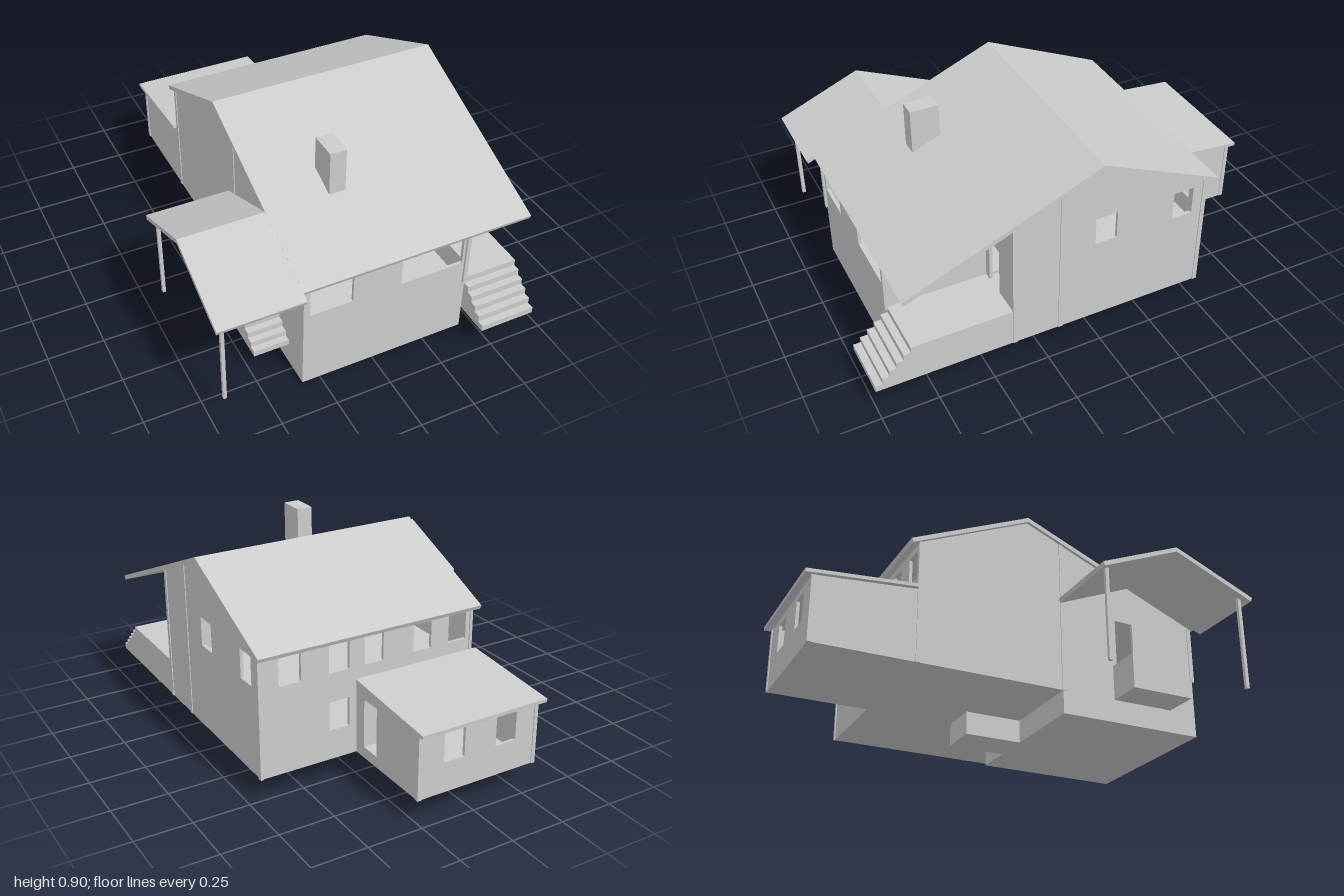
import * as THREE from 'three';

const grey = new THREE.MeshStandardMaterial({ color: 0xcccccc, side: THREE.DoubleSide });
const T = 0.014; // wall thickness

// Underside height of the main roof at depth z
const roofY = z => 0.887 - (z > 0 ? 0.414 * z : -0.44 * z);

export function createModel() {
  const house = new THREE.Group();
  house.name = 'house';

  const add = (name, geometry) => {
    const mesh = new THREE.Mesh(geometry, grey);
    mesh.name = name;
    house.add(mesh);
    return mesh;
  };

  // Box given by its limits on each axis
  const block = (name, x0, x1, y0, y1, z0, z1) => {
    const mesh = add(name, new THREE.BoxGeometry(x1 - x0, y1 - y0, z1 - z0));
    mesh.position.set((x0 + x1) / 2, (y0 + y1) / 2, (z0 + z1) / 2);
    return mesh;
  };

  // Outline with rectangular openings [a0, a1, y0, y1]
  const outline = (points, openings = []) => {
    const shape = new THREE.Shape(points.map(p => new THREE.Vector2(...p)));
    for (const [a0, a1, y0, y1] of openings) {
      shape.holes.push(new THREE.Path([[a0, y0], [a0, y1], [a1, y1], [a1, y0]].map(p => new THREE.Vector2(...p))));
    }
    return shape;
  };
  const extrude = (shape, depth) => new THREE.ExtrudeGeometry(shape, { depth, bevelEnabled: false });

  // Wall facing front or back, starting at depth z
  const crossWall = (name, x0, x1, y0, y1, z, openings) => {
    const pts = [[x0, y0], [x1, y0], [x1, y1], [x0, y1]];
    add(name, extrude(outline(pts, openings), T)).position.z = z;
  };

  // Profile in (z, y) extruded along x
  const sideProfile = (name, x, depth, points, openings = []) => {
    const pts = points.map(([z, y]) => [-z, y]);
    const holes = openings.map(([z0, z1, y0, y1]) => [-z1, -z0, y0, y1]);
    const mesh = add(name, extrude(outline(pts, holes), depth));
    mesh.rotation.y = Math.PI / 2;
    mesh.position.x = x;
  };

  // Basement and floors
  block('basement', -0.33, 0.44, 0, 0.105, 0.165, 0.84);
  block('basementExtension', 0.08, 0.26, 0, 0.105, -0.1, 0.165);
  block('groundFloor', -0.33, 0.7, 0.105, 0.115, -0.51, 0.39);
  block('annexFloor', -0.33, 0.25, 0.105, 0.115, -0.965, -0.51);
  block('livingFloor', -0.316, 0.426, 0.25, 0.265, 0.165, 0.826);
  block('upperFloor', -0.316, 0.686, 0.39, 0.41, -0.496, 0.165);

  // Main walls
  crossWall('frontWall', -0.33, 0.44, 0.105, 0.53, 0.84 - T,
    [[-0.3, -0.105, 0.375, 0.51], [0.12, 0.415, 0.375, 0.51]]);
  const upper = [[0.51, 0.61], [0.285, 0.38], [0.12, 0.21], [-0.12, -0.03], [-0.3, -0.21]];
  crossWall('backWall', -0.33, 0.7, 0.105, roofY(-0.51), -0.51,
    [...upper.map(([a, b]) => [a, b, 0.5, 0.63]), [0.285, 0.38, 0.24, 0.37]]);
  sideProfile('leftWall', -0.33, T,
    [[0.84, 0.105], [-0.51, 0.105], [-0.51, roofY(-0.51)], [0, roofY(0)], [0.84, roofY(0.84)]],
    [[0.44, 0.53, 0.28, 0.49]]);
  sideProfile('rightWall', 0.7 - T, T,
    [[0.39, 0.105], [-0.51, 0.105], [-0.51, roofY(-0.51)], [0, roofY(0)], [0.39, roofY(0.39)]],
    [[-0.085, 0.015, 0.5, 0.63], [-0.45, -0.355, 0.5, 0.63]]);
  sideProfile('porchSideWall', 0.44 - T, T,
    [[0.84, 0.105], [0.39, 0.105], [0.39, roofY(0.39)], [0.84, roofY(0.84)]],
    [[0.71, 0.81, 0.38, 0.51]]);
  crossWall('porchBackWall', 0.44, 0.7, 0.105, roofY(0.39), 0.39 - T, [[0.475, 0.57, 0.28, 0.5]]);

  // Partition with the stair opening left free
  block('partition', -0.316, 0.08, 0.115, roofY(0.165), 0.155, 0.165);
  block('partition', 0.265, 0.686, 0.115, roofY(0.165), 0.155, 0.165);

  // Main roof and chimney
  sideProfile('mainRoof', -0.345, 1.065,
    [[0.87, 0.545], [0, 0.905], [-0.555, 0.661], [-0.547, 0.643], [0, 0.884], [0.862, 0.526]]);
  block('chimney', -0.06, 0.015, 0.64, 0.89, 0.4, 0.53);

  // Rear annex
  for (const x of [-0.33, 0.25 - T]) {
    sideProfile('annexSideWall', x, T,
      [[-0.51, 0.105], [-0.965, 0.105], [-0.965, 0.397], [-0.51, 0.435]],
      x > 0 ? [[-0.665, -0.57, 0.155, 0.375]] : []);
  }
  crossWall('annexBackWall', -0.33, 0.25, 0.105, 0.397, -0.965,
    [[0.03, 0.13, 0.24, 0.37], [-0.225, -0.125, 0.24, 0.37]]);
  sideProfile('annexRoof', -0.35, 0.61, [[-0.52, 0.45], [-1, 0.41], [-0.999, 0.394], [-0.52, 0.435]]);

  // Side canopy on posts
  sideProfile('canopyRoof', -0.725, 0.38,
    [[0.905, 0.53], [0.52, 0.689], [0.145, 0.53], [0.152, 0.511], [0.52, 0.668], [0.897, 0.511]]);
  for (const z of [0.18, 0.857]) block('canopyPost', -0.695, -0.68, 0.105, 0.53, z - 0.008, z + 0.008);

  // Raised landings with steps going down to the front
  const landing = (name, x0, x1, zBack, zEdge, zEnd, top) => {
    const n = 5, pts = [[zBack, 0.105], [zBack, top]];
    const rise = (top - 0.105) / (n + 1), run = (zEnd - zEdge) / n;
    for (let i = 0; i <= n; i++) {
      pts.push([zEdge + i * run, top - i * rise], [zEdge + i * run, top - (i + 1) * rise]);
    }
    sideProfile(name, x0, x1 - x0, pts);
  };
  landing('porchSteps', 0.441, 0.7, 0.39, 0.84, 1, 0.28);
  landing('sideSteps', -0.49, -0.33, 0.42, 0.56, 0.71, 0.265);

  // Vertical trim boards at corners and joints
  for (const z of [0.382, 0.17, -0.505]) {
    block('trim', 0.69, 0.704, 0.105, roofY(z) - 0.004, z - 0.01, z + 0.01);
  }
  for (const z of [0.17, -0.505]) {
    block('trim', -0.334, -0.32, 0.105, roofY(z) - 0.004, z - 0.01, z + 0.01);
  }
  for (const x of [-0.325, 0.435]) block('frontTrim', x - 0.009, x + 0.009, 0.265, 0.53, 0.83, 0.85);
  for (const x of [-0.325, 0.245]) block('annexTrim', x - 0.009, x + 0.009, 0.105, 0.397, -0.969, -0.95);

  return house;
}
